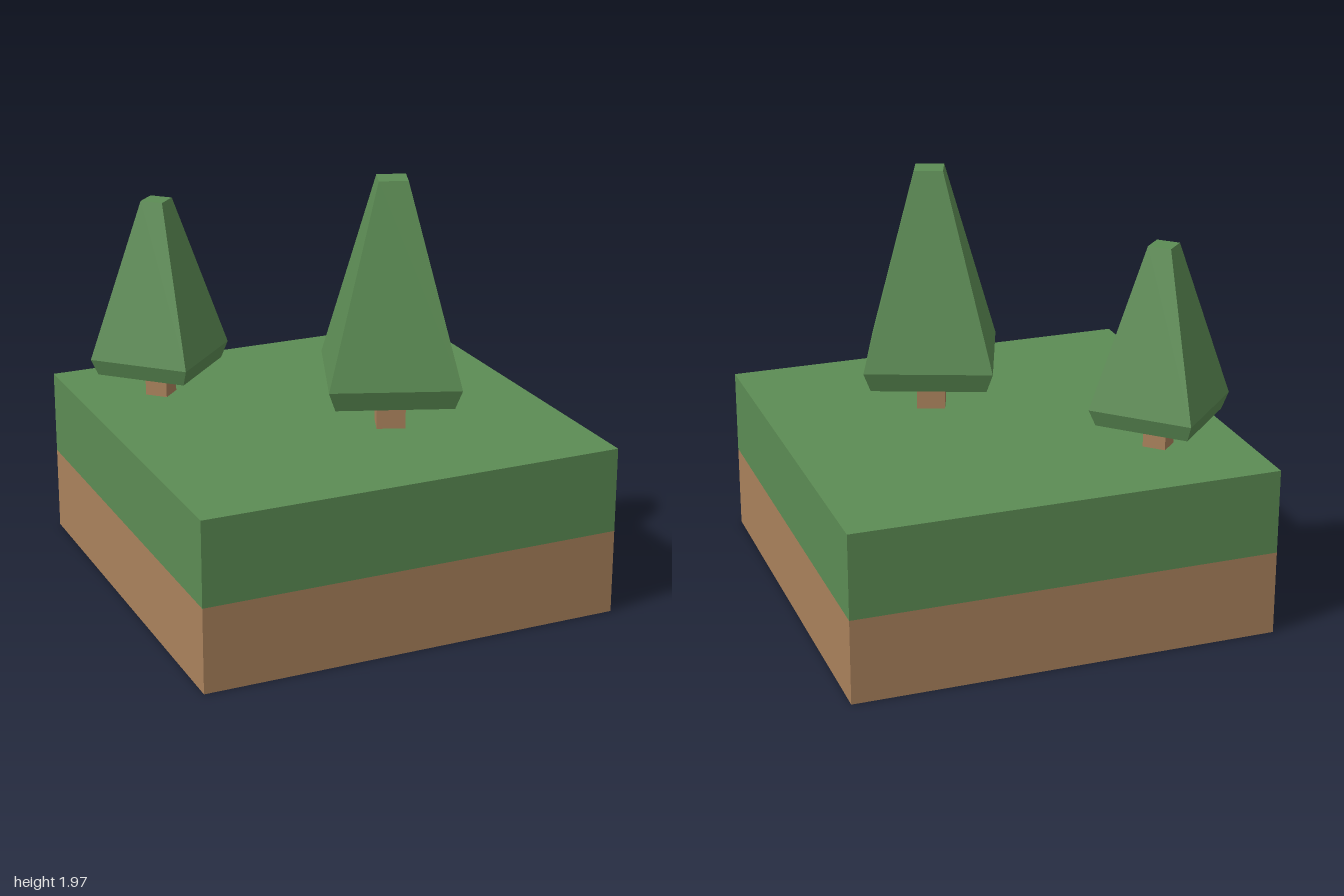
import * as THREE from 'three';

const green = new THREE.MeshStandardMaterial({ color: 0x5c8c54, flatShading: true });
const brown = new THREE.MeshStandardMaterial({ color: 0xaa825c, flatShading: true });

function addMesh(parent, name, geometry, material, y) {
  const mesh = new THREE.Mesh(geometry, material);
  mesh.name = name;
  mesh.position.y = y;
  parent.add(mesh);
}

// Four-sided tree standing on its own origin
function createTree(name) {
  const tree = new THREE.Group();
  tree.name = name;
  addMesh(tree, 'trunk', new THREE.CylinderGeometry(0.077, 0.077, 0.135, 4), brown, 0.0675);

  // Closed foliage profile: underside, flared rim, tapered crown, flat tip
  const profile = [[0, 0.135], [0.311, 0.135], [0.346, 0.212], [0.077, 0.954], [0, 0.954]]
    .map(([r, y]) => new THREE.Vector2(r, y));
  addMesh(tree, 'foliage', new THREE.LatheGeometry(profile, 4), green, 0);
  return tree;
}

export function createModel() {
  const model = new THREE.Group();
  model.name = 'groundTileWithTrees';

  // Ground layers
  addMesh(model, 'soil', new THREE.BoxGeometry(2, 0.4, 2), brown, 0.2);
  addMesh(model, 'grass', new THREE.BoxGeometry(2, 0.4, 2), green, 0.6);

  // Small tree at the back
  const smallTree = createTree('smallTree');
  smallTree.position.set(-0.61, 0.8, -0.535);
  model.add(smallTree);

  // Larger, turned tree at the front
  const largeTree = createTree('largeTree');
  largeTree.position.set(0.206, 0.8, 0.295);
  largeTree.rotation.y = 0.422;
  largeTree.scale.setScalar(1.222);
  model.add(largeTree);

  return model;
}
